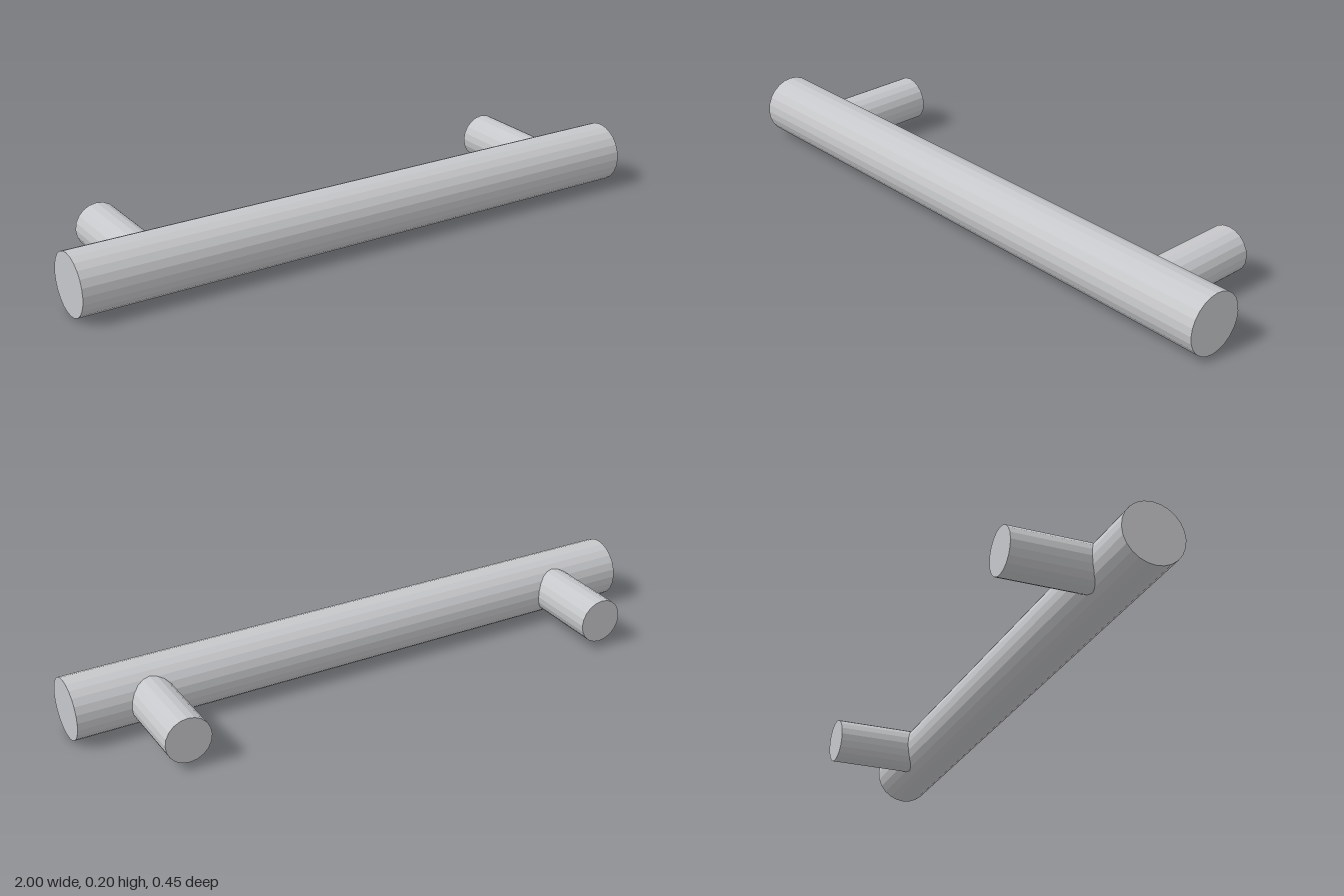
import * as THREE from 'three';

const BAR_RADIUS = 0.1;
const BAR_Z = 0.125;
const POST_RADIUS = 0.075;
const POST_X = 0.75;
const BACK_Z = -0.225;

export function createModel() {
  const group = new THREE.Group();
  group.name = 'barHandle';

  const brushedSteel = new THREE.MeshStandardMaterial({ color: 0xc6c7ca, flatShading: true });
  brushedSteel.name = 'brushedSteel';

  // Long grip bar along x
  const barGeometry = new THREE.CylinderGeometry(BAR_RADIUS, BAR_RADIUS, 2, 24);
  barGeometry.rotateZ(Math.PI / 2);
  const bar = new THREE.Mesh(barGeometry, brushedSteel);
  bar.name = 'gripBar';
  bar.position.set(0, BAR_RADIUS, BAR_Z);
  group.add(bar);

  // Two mounting posts running from the back into the middle of the bar
  const postLength = BAR_Z - BACK_Z;
  const postGeometry = new THREE.CylinderGeometry(POST_RADIUS, POST_RADIUS, postLength, 20);
  postGeometry.rotateX(Math.PI / 2);
  for (const side of [1, -1]) {
    const post = new THREE.Mesh(postGeometry, brushedSteel);
    post.name = side > 0 ? 'leftPost' : 'rightPost';
    post.position.set(side * POST_X, BAR_RADIUS, BACK_Z + postLength / 2);
    group.add(post);
  }

  return group;
}
